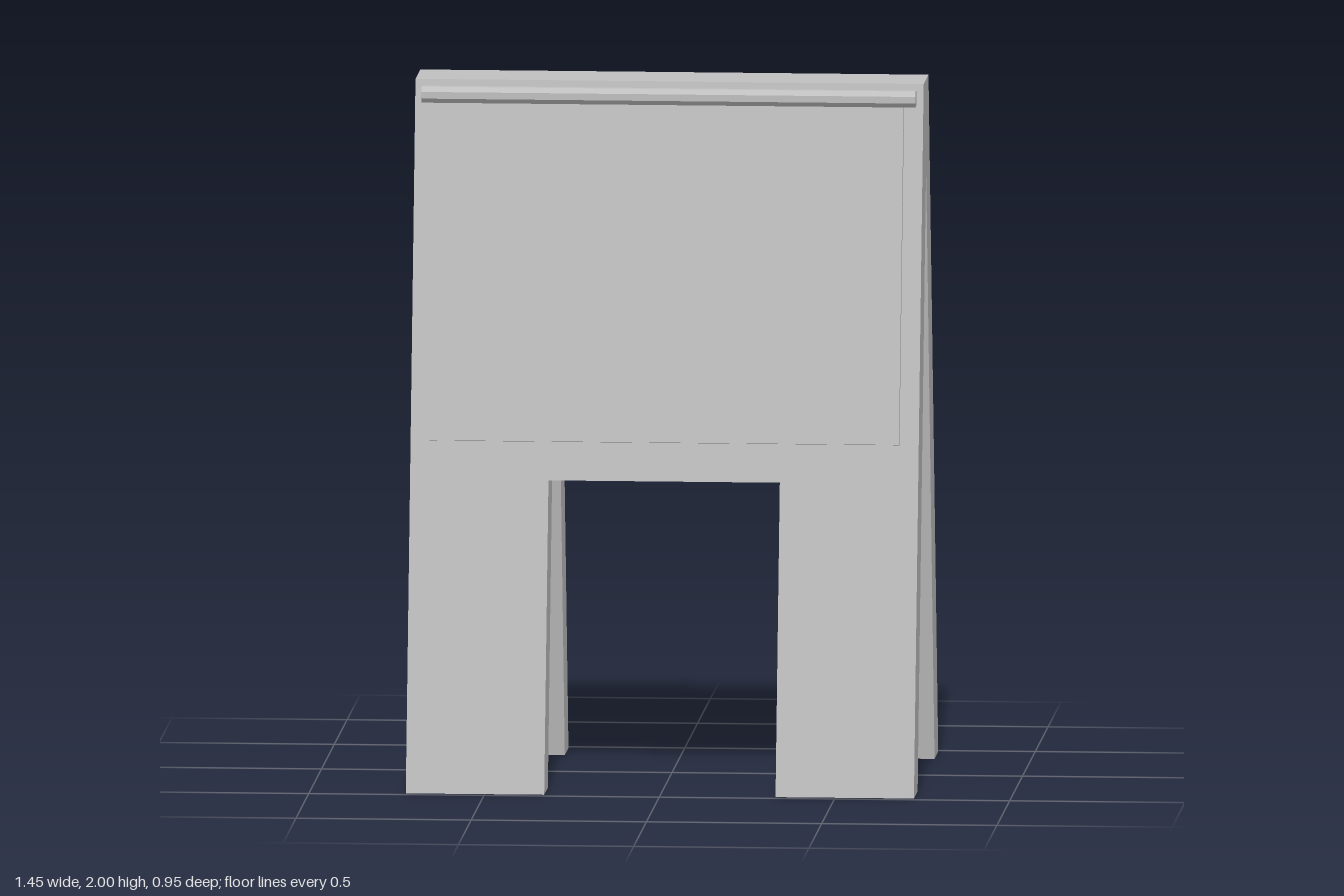
import * as THREE from 'three';

const W = 0.725, GAP = 0.33, ARCH = 0.88, FOOT = 0.475, TOP = 0.095, APEX = 1.75;
const slope = (FOOT - TOP) / 2;
const outerZ = (y) => FOOT - slope * y;

function add(parent, name, geometry, material) {
  const mesh = new THREE.Mesh(geometry, material);
  mesh.name = name;
  parent.add(mesh);
  return mesh;
}

// Slanted board with two legs: an arch outline whose two faces are tilted
function leafGeometry() {
  const shape = new THREE.Shape([
    [-W, 0], [-GAP, 0], [-GAP, ARCH], [GAP, ARCH], [GAP, 0], [W, 0], [W, 2], [-W, 2],
  ].map(([x, y]) => new THREE.Vector2(x, y)));
  const geo = new THREE.ExtrudeGeometry(shape, { depth: 1, bevelEnabled: false });
  const p = geo.attributes.position;
  for (let i = 0; i < p.count; i++) {
    const y = p.getY(i);
    if (p.getZ(i) > 0.5) {
      p.setZ(i, outerZ(y));
    } else {
      // inner face ends at the apex between the two boards
      const innerY = Math.min(y, APEX);
      p.setY(i, innerY);
      p.setZ(i, 0.33 * (1 - innerY / APEX));
    }
  }
  geo.computeVertexNormals();
  return geo;
}

export function createModel() {
  const model = new THREE.Group();
  model.name = 'foldingBoardStand';
  const grey = new THREE.MeshStandardMaterial({ color: 0xbfbfbf });
  grey.name = 'plain grey';

  // Front and back boards
  const leaf = leafGeometry();
  add(model, 'frontBoard', leaf, grey);
  add(model, 'backBoard', leaf, grey).rotation.y = Math.PI;

  // Ridge wedge joining the boards
  const wedge = new THREE.Shape([
    new THREE.Vector2(0, APEX), new THREE.Vector2(TOP, 2), new THREE.Vector2(-TOP, 2),
  ]);
  const ridge = new THREE.ExtrudeGeometry(wedge, { depth: 2 * W, bevelEnabled: false });
  ridge.translate(0, 0, -W).rotateY(Math.PI / 2);
  add(model, 'ridge', ridge, grey);

  // Sheet lying on the front board
  const low = 0.99, high = 1.95, mid = (low + high) / 2, thick = 0.02;
  const tilt = Math.atan(slope);
  const sheet = add(model, 'sheet',
    new THREE.BoxGeometry(1.34, (high - low) / Math.cos(tilt), thick), grey);
  sheet.rotation.x = -tilt;
  sheet.position.set(0, mid, outerZ(mid) + thick / 2);

  // Eight-sided rod holding the sheet at the top
  const rod = new THREE.CylinderGeometry(0.025, 0.025, 1.41, 8).toNonIndexed();
  rod.rotateY(Math.PI / 8).rotateZ(Math.PI / 2);
  rod.computeVertexNormals();
  add(model, 'rod', rod, grey).position.set(0, 1.96, 0.122);

  return model;
}
